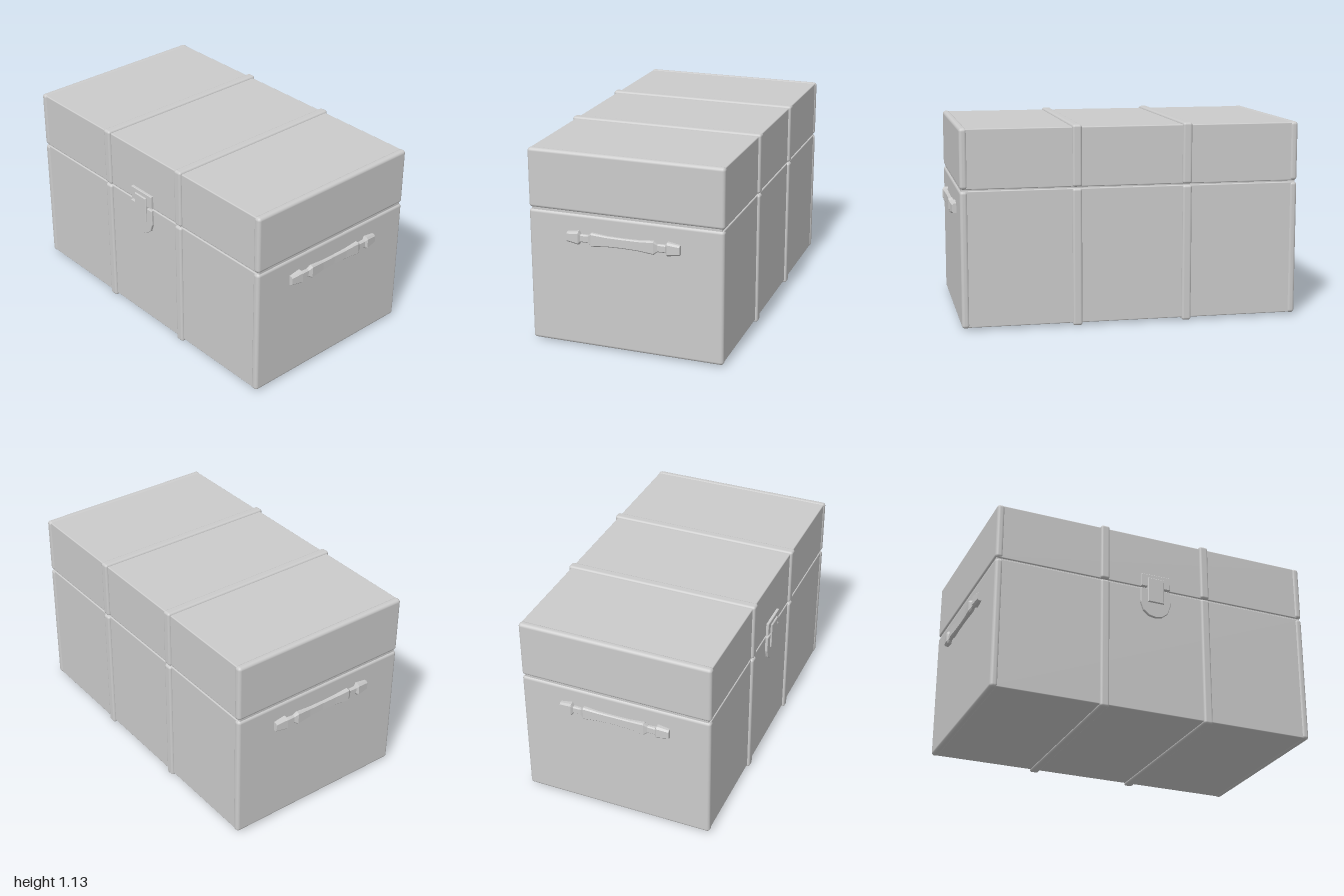
import * as THREE from 'three';
import { RoundedBoxGeometry } from 'three/addons/geometries/RoundedBoxGeometry.js';

const CX = 0.004;                    // trunk centre in x
const BOTTOM = 0.014, TOP = 1.123;   // shell heights
const SEAM = 0.785, GAP = 0.004;     // lid seam and half its gap

const mat = new THREE.MeshStandardMaterial({ color: 0xcccccc });
const flatMat = new THREE.MeshStandardMaterial({ color: 0xcccccc, flatShading: true });

function add(parent, name, geometry, material = mat) {
  const mesh = new THREE.Mesh(geometry, material);
  mesh.name = name;
  parent.add(mesh);
  return mesh;
}

// Rounded block between two heights
function block(parent, name, width, y0, y1, depth, z, radius) {
  const mesh = add(parent, name, new RoundedBoxGeometry(width, y1 - y0, depth, 4, radius));
  mesh.position.set(CX, (y0 + y1) / 2, z);
  return mesh;
}

// One half of the trunk (base or lid): shell, end rims and straps
function trunkHalf(name, y0, y1, grow0, grow1) {
  const half = new THREE.Group();
  half.name = name;
  block(half, name + 'Shell', 1.11, y0, y1, 1.91, 0, 0.006);
  for (const s of [1, -1]) {
    block(half, name + 'EndRim', 1.122, y0 - grow0 * 0.004, y1 + grow1 * 0.004, 0.044, s * 0.944, 0.018);
    block(half, name + 'Strap', 1.138, y0 - grow0 * 0.014, y1 + grow1 * 0.012, 0.054, s * 0.315, 0.014);
  }
  return half;
}

// Loft of chamfered rectangles along x: [x, yLow, yHigh, zBack, zFront]
function loft(stations) {
  const pos = [], idx = [], N = 8;
  for (const [x, y0, y1, z0, z1] of stations) {
    const c = Math.min(y1 - y0, z1 - z0) * 0.25;
    const ring = [[y1, z0 + c], [y1, z1 - c], [y1 - c, z1], [y0 + c, z1],
      [y0, z1 - c], [y0, z0 + c], [y0 + c, z0], [y1 - c, z0]];
    for (const [y, z] of ring) pos.push(x, y, z);
  }
  for (let i = 0; i < stations.length - 1; i++) {
    for (let j = 0; j < N; j++) {
      const a = i * N + j, b = i * N + (j + 1) % N;
      idx.push(a, b, b + N, a, b + N, a + N);
    }
  }
  const last = (stations.length - 1) * N;
  for (let j = 1; j < N - 1; j++) {
    idx.push(0, j + 1, j, last, last + j, last + j + 1);
  }
  const indexed = new THREE.BufferGeometry();
  indexed.setAttribute('position', new THREE.Float32BufferAttribute(pos, 3));
  indexed.setIndex(idx);
  const geometry = indexed.toNonIndexed();
  geometry.computeVertexNormals();
  return geometry;
}

// Carrying handle: end lugs, narrow necks and a waisted grip
function handleGeometry() {
  const right = [
    [0.09, 0.621, 0.681, 0.968, 0.992],
    [0.18, 0.614, 0.691, 0.968, 0.999],
    [0.20, 0.629, 0.673, 0.966, 0.988],
    [0.245, 0.629, 0.673, 0.962, 0.988],
    [0.255, 0.614, 0.691, 0.955, 0.999],
    [0.325, 0.624, 0.679, 0.955, 0.990],
  ];
  const left = right.map(([x, ...rest]) => [-x, ...rest]).reverse();
  return loft([...left, [0, 0.623, 0.679, 0.968, 0.990], ...right]);
}

// Latch plate drawn as [z, y] corners, standing out towards -x
function plate(parent, name, corners, thickness, bevel) {
  const shape = new THREE.Shape(corners.map(([z, y]) => new THREE.Vector2(z, y)));
  const geometry = new THREE.ExtrudeGeometry(shape, {
    depth: thickness - bevel, bevelEnabled: true, bevelThickness: bevel,
    bevelSize: bevel, bevelOffset: -bevel, bevelSegments: 1,
  });
  const mesh = add(parent, name, geometry, flatMat);
  mesh.rotation.y = -Math.PI / 2;
  mesh.position.x = CX - 0.555;
  return mesh;
}

export function createModel() {
  const model = new THREE.Group();
  model.name = 'trunk';

  model.add(trunkHalf('base', BOTTOM, SEAM - GAP, 1, 0));
  model.add(trunkHalf('lid', SEAM + GAP, TOP, 0, 1));

  // Recessed filler behind the seam
  block(model, 'seamFiller', 1.095, SEAM - 0.04, SEAM + 0.04, 1.915, 0, 0.005);

  // Handles on both ends
  const handle = handleGeometry();
  add(model, 'frontHandle', handle, flatMat);
  add(model, 'backHandle', handle, flatMat).rotation.y = Math.PI;

  // Latch on the -x side
  const latch = new THREE.Group();
  latch.name = 'latch';
  plate(latch, 'latchLidPlate',
    [[-0.093, 0.79], [0.087, 0.79], [0.087, 0.87], [-0.093, 0.87]], 0.015, 0.003);
  plate(latch, 'latchBasePlate',
    [[-0.098, 0.778], [-0.098, 0.685], [-0.08, 0.635], [-0.045, 0.607], [-0.005, 0.6],
      [0.035, 0.607], [0.07, 0.635], [0.088, 0.685], [0.088, 0.778]], 0.015, 0.003);
  plate(latch, 'latchClasp',
    [[-0.055, 0.69], [0.045, 0.69], [0.045, 0.845], [-0.055, 0.845]], 0.024, 0.004);
  model.add(latch);

  return model;
}
